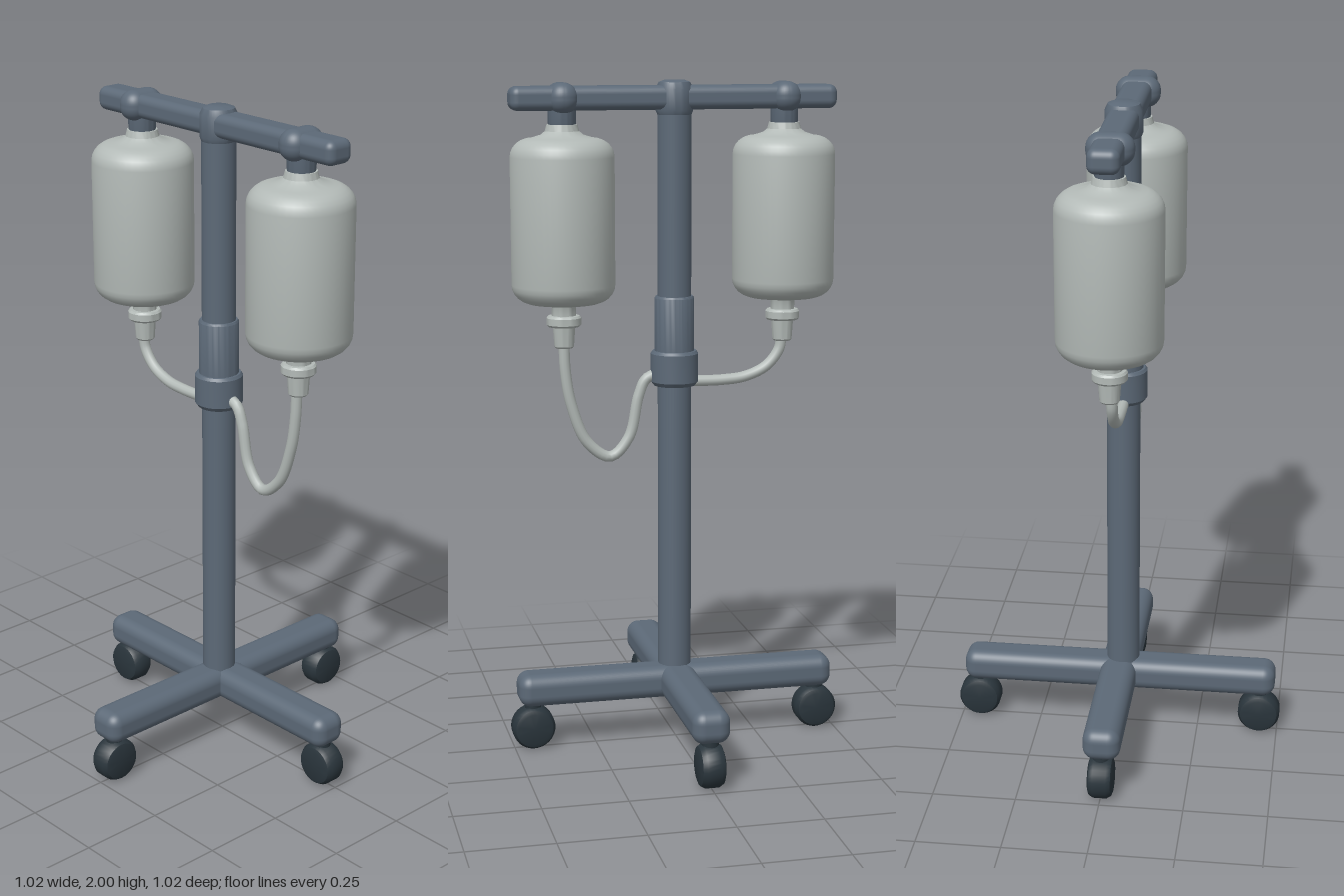
import * as THREE from 'three';
import { RoundedBoxGeometry } from 'three/addons/geometries/RoundedBoxGeometry.js';
import { toCreasedNormals } from 'three/addons/utils/BufferGeometryUtils.js';

const frame = new THREE.MeshStandardMaterial({ name: 'slate frame', color: 0x5c6977 });
const pale = new THREE.MeshStandardMaterial({ name: 'pale plastic', color: 0xb3bab7 });
const rubber = new THREE.MeshStandardMaterial({ name: 'dark rubber', color: 0x2a353c });

const Z = 0.014; // pole axis, slightly forward

function add(parent, name, geometry, material, x = 0, y = 0, z = 0) {
  const mesh = new THREE.Mesh(geometry, material);
  mesh.name = name;
  mesh.position.set(x, y, z);
  parent.add(mesh);
  return mesh;
}

// Turned solid from [radius, y] pairs
function turned(points, segments = 40) {
  const g = new THREE.LatheGeometry(points.map(([r, y]) => new THREE.Vector2(r, y)), segments);
  return toCreasedNormals(g, 0.6);
}

// Profile points for a quarter-round corner
function corner(cx, cy, rx, ry, from, to, steps = 6) {
  return Array.from({ length: steps + 1 }, (_, i) => {
    const a = from + (to - from) * i / steps;
    return [cx + rx * Math.cos(a), cy + ry * Math.sin(a)];
  });
}

function hose(points) {
  const curve = new THREE.CatmullRomCurve3(points.map(([x, y]) => new THREE.Vector3(x, y, Z + 0.006)));
  return new THREE.TubeGeometry(curve, 48, 0.0165, 12);
}

function createBase() {
  const base = new THREE.Group();
  base.name = 'wheeledBase';
  add(base, 'crossLeg', new RoundedBoxGeometry(0.976, 0.098, 0.112, 5, 0.036), frame, 0, 0.187, 0.003);
  add(base, 'longLeg', new RoundedBoxGeometry(0.112, 0.098, 0.976, 5, 0.036), frame, 0, 0.187, 0.003);

  // Four casters, each rolling along its leg
  const tyre = turned([
    [0, -0.037], [0.046, -0.037], [0.057, -0.033], [0.065, -0.02],
    [0.065, 0.02], [0.057, 0.033], [0.046, 0.037], [0, 0.037],
  ], 32).rotateX(Math.PI / 2);
  for (let i = 0; i < 4; i++) {
    const caster = new THREE.Group();
    caster.name = 'caster';
    caster.rotation.y = i * Math.PI / 2;
    add(caster, 'wheel', tyre, rubber, 0.443, 0.068, 0);
    add(caster, 'casterStem', new THREE.CylinderGeometry(0.025, 0.025, 0.06, 16), rubber, 0.443, 0.135, 0);
    base.add(caster);
  }
  return base;
}

function createBottle(x) {
  const bottle = new THREE.Group();
  bottle.name = 'bottleAssembly';
  bottle.position.set(x, 0, Z);

  // Hook block over the bar, and its stem
  add(bottle, 'hook', new RoundedBoxGeometry(0.086, 0.09, 0.134, 5, 0.041), frame, 0, 1.95, 0.003);
  add(bottle, 'hookStem', turned([[0, 1.868], [0.038, 1.868], [0.041, 1.88], [0.041, 1.96], [0, 1.96]]), frame);

  // Bottle body with rounded shoulders
  add(bottle, 'bottle', turned([
    [0, 1.355], [0.09, 1.356],
    ...corner(0.09, 1.411, 0.062, 0.055, -Math.PI / 2, 0),
    ...corner(0.09, 1.782, 0.062, 0.055, 0, Math.PI / 2),
    [0.062, 1.846], [0.05, 1.856], [0.045, 1.875], [0, 1.875],
  ], 48), pale);

  // Outlet neck, flange and nozzle
  add(bottle, 'outlet', turned([
    [0, 1.223], [0.025, 1.223], [0.029, 1.228], [0.033, 1.285], [0.046, 1.287], [0.051, 1.293],
    [0.051, 1.313], [0.046, 1.319], [0.036, 1.32], [0.036, 1.345], [0.042, 1.36], [0, 1.36],
  ], 32), pale);
  return bottle;
}

export function createModel() {
  const model = new THREE.Group();
  model.name = 'dripStand';
  model.add(createBase());

  // Pole and collars
  add(model, 'pole', new THREE.CylinderGeometry(0.05, 0.05, 1.76, 36), frame, 0, 1.07, Z);
  add(model, 'upperSleeve', turned([
    [0.05, 1.18], [0.059, 1.18], [0.059, 1.362], [0.055, 1.368], [0.05, 1.368],
  ]), frame, 0, 0, Z);
  add(model, 'clampCollar', turned([
    [0.05, 1.098], [0.062, 1.1], [0.071, 1.112], [0.071, 1.196], [0.065, 1.204], [0.05, 1.205],
  ]), frame, 0, 0, Z);
  add(model, 'poleCap', turned([
    [0.05, 1.9], [0.055, 1.912], [0.055, 1.975], [0.046, 1.994], [0.03, 2], [0, 2],
  ]), frame, 0, 0, Z);

  // Top bar with both bottles
  add(model, 'topBar', new RoundedBoxGeometry(0.974, 0.07, 0.09, 5, 0.024), frame, 0, 1.95, Z + 0.001);
  for (const side of [-1, 1]) model.add(createBottle(side * 0.333));

  // Drip hoses to the collar
  add(model, 'rightHose', hose([
    [-0.333, 1.24], [-0.325, 1.195], [-0.285, 1.145], [-0.22, 1.116], [-0.15, 1.108], [-0.04, 1.108],
  ]), pale);
  add(model, 'leftHose', hose([
    [0.333, 1.24], [0.329, 1.15], [0.312, 1.05], [0.265, 0.935], [0.195, 0.888],
    [0.138, 0.945], [0.108, 1.07], [0.085, 1.12], [0.04, 1.138],
  ]), pale);
  return model;
}
